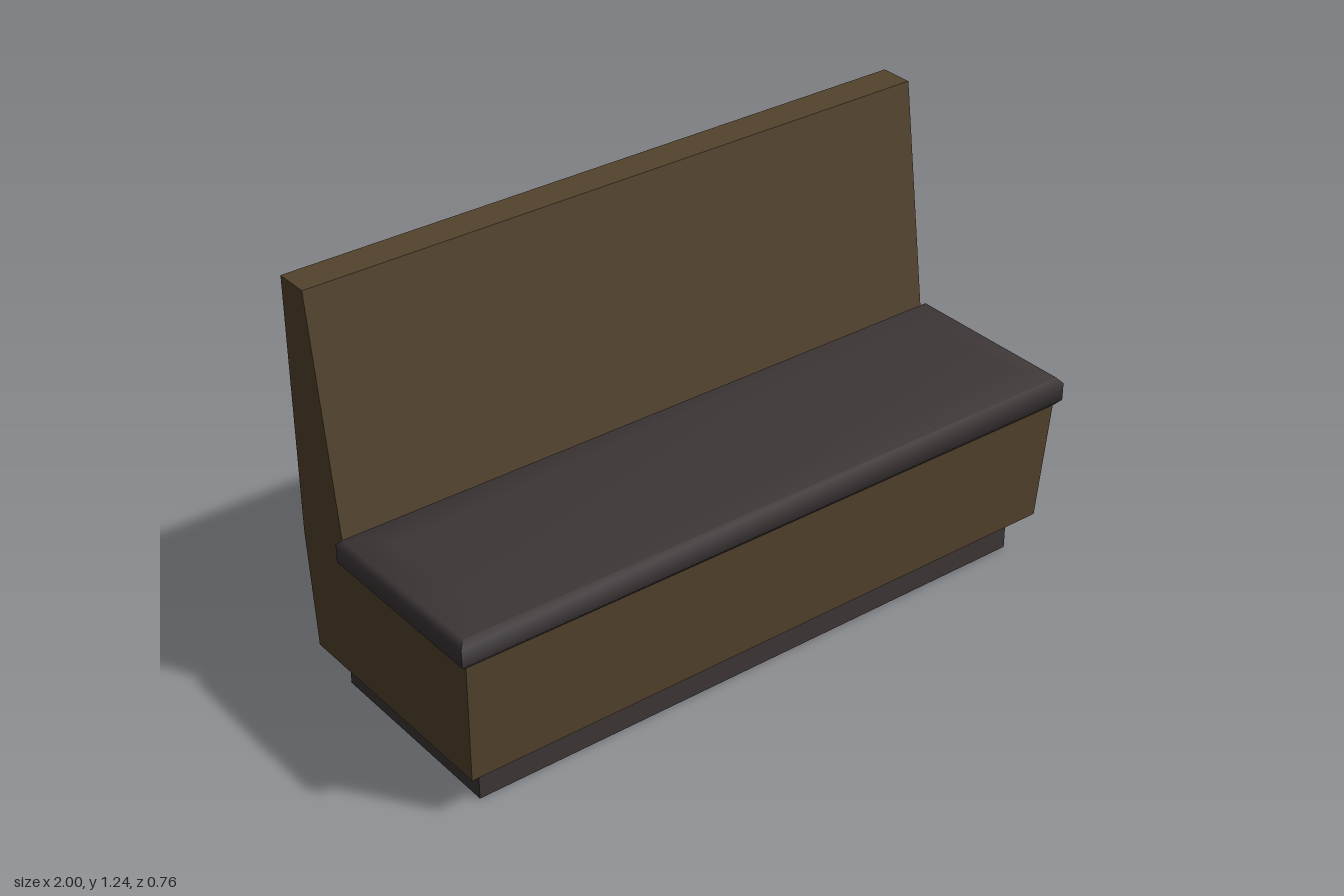
import * as THREE from 'three';
import { toCreasedNormals } from 'three/addons/utils/BufferGeometryUtils.js';

// Skins a stack of rectangular rings [halfWidth, backZ, frontZ, y], given bottom to top.
function loft(rings, { caps = true, crease = 0.01 } = {}) {
  const positions = [];
  const index = [];
  for (const [h, z0, z1, y] of rings) {
    positions.push(-h, y, z1, h, y, z1, h, y, z0, -h, y, z0);
  }
  for (let i = 0; i < rings.length - 1; i++) {
    for (let j = 0; j < 4; j++) {
      const a = i * 4 + j, b = i * 4 + (j + 1) % 4;
      index.push(a, b, b + 4, a, b + 4, a + 4);
    }
  }
  if (caps) {
    const t = (rings.length - 1) * 4;
    index.push(0, 2, 1, 0, 3, 2, t, t + 1, t + 2, t, t + 2, t + 3);
  }
  const geometry = new THREE.BufferGeometry();
  geometry.setAttribute('position', new THREE.Float32BufferAttribute(positions, 3));
  geometry.setIndex(index);
  return toCreasedNormals(geometry, crease);
}

export function createModel() {
  const brown = new THREE.MeshStandardMaterial({ color: 0x54432e });
  brown.name = 'brown wood';
  const charcoal = new THREE.MeshStandardMaterial({ color: 0x3d3637 });
  charcoal.name = 'charcoal upholstery';
  const plinthMaterial = charcoal.clone();
  plinthMaterial.name = 'charcoal plinth';
  plinthMaterial.side = THREE.DoubleSide;

  const bench = new THREE.Group();
  bench.name = 'boothBench';
  const add = (name, geometry, material) => {
    const mesh = new THREE.Mesh(geometry, material);
    mesh.name = name;
    bench.add(mesh);
  };

  // Recessed plinth, open underneath
  add('plinth', loft([
    [0.91, -0.325, 0.285, 0],
    [0.91, -0.325, 0.285, 0.12],
  ], { caps: false }), plinthMaterial);

  // Seat box and sloping backrest in one shell, hollow from below
  add('benchBody', loft([
    [0.91, -0.325, 0.285, 0.48],  // cavity ceiling
    [0.91, -0.325, 0.285, 0.12],  // cavity mouth
    [0.965, -0.38, 0.34, 0.12],   // underside rim
    [0.98, -0.38, 0.365, 0.49],   // seat box top
    [0.98, -0.38, -0.175, 0.49],  // foot of the backrest
    [0.98, -0.38, -0.28, 1.24],   // backrest top
  ]), brown);

  // Seat cushion with softened edges and a slightly crowned top
  add('seatCushion', loft([
    [0.985, -0.17, 0.365, 0.49],
    [1, -0.185, 0.38, 0.507],
    [1, -0.185, 0.38, 0.56],
    [0.985, -0.17, 0.365, 0.577],
    [0.9, -0.06, 0.25, 0.59],
  ], { crease: 0.9 }), charcoal);

  return bench;
}
